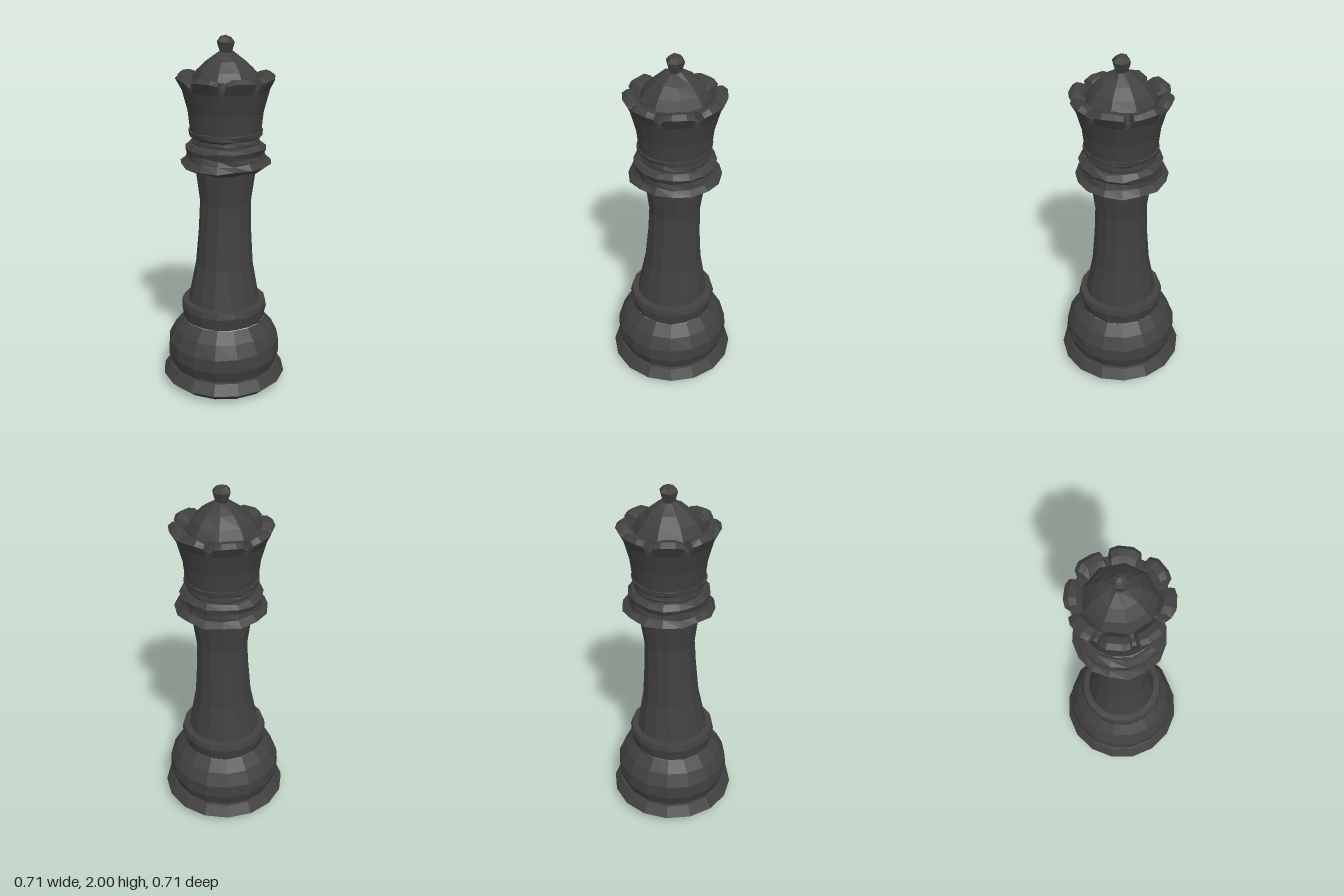
import * as THREE from 'three';

const material = new THREE.MeshStandardMaterial({ color: 0x404040, flatShading: true });

// Upper parts lean very slightly to one side
const lean = (y) => 0.018 * THREE.MathUtils.clamp((y - 0.4) / 0.8, 0, 1);

// Repeatable pseudo-random value in -1..1
const noise = (i, j) => {
  const s = Math.sin(i * 127.1 + j * 311.7) * 43758.5453;
  return (s - Math.floor(s)) * 2 - 1;
};

// Faceted turned part from [radius, y] points, with optional hand-cut irregularity
function turned(name, profile, sides, startDeg, wobble = 0) {
  const geo = new THREE.LatheGeometry(
    profile.map(([r, y]) => new THREE.Vector2(r, y)), sides, THREE.MathUtils.degToRad(startDeg));
  const pos = geo.attributes.position;
  const rows = profile.length;
  for (let k = 0; k < pos.count; k++) {
    const row = k % rows;
    const side = Math.floor(k / rows) % sides;
    const inner = row > 0 && row < rows - 1;
    const scale = inner ? 1 + noise(side, row) * wobble * 3 : 1;
    const y = pos.getY(k) + (inner ? noise(row + 9, side) * wobble : 0);
    pos.setXYZ(k, pos.getX(k) * scale + lean(y), y, pos.getZ(k) * scale);
  }
  const mesh = new THREE.Mesh(geo, material);
  mesh.name = name;
  return mesh;
}

// Flared crown whose rim rises into eight chunky teeth
function crown() {
  const teeth = 8;
  const steps = [[-17, 0.75], [-8, 1], [8, 1], [17, 0.75], [20, 0], [25, 0]];
  const columns = [];
  for (let t = 0; t < teeth; t++) {
    for (const [deg, up] of steps) {
      const a = THREE.MathUtils.degToRad(t * 45 - 12 + deg);
      const h = up * (1 + 0.12 * noise(t, deg));
      columns.push([
        [0.193, 1.49], [0.205, 1.6], [0.237, 1.72],
        [0.24 + 0.03 * h, 1.745 + 0.035 * h],
        [0.225 + 0.02 * h, 1.75 + 0.05 * h],
        [0.2 + 0.008 * h, 1.75 + 0.045 * h],
        [0.17, 1.755],
      ].map(([r, y]) => [Math.cos(a) * r + lean(y), y, Math.sin(a) * r]));
    }
  }
  const rows = columns[0].length;
  const index = [];
  columns.forEach((_, i) => {
    const next = (i + 1) % columns.length;
    for (let j = 0; j < rows - 1; j++) {
      const a = i * rows + j, b = next * rows + j;
      index.push(a, a + 1, b, b, a + 1, b + 1);
    }
  });
  const geo = new THREE.BufferGeometry();
  geo.setAttribute('position', new THREE.Float32BufferAttribute(columns.flat(2), 3));
  geo.setIndex(index);
  geo.computeVertexNormals();
  const mesh = new THREE.Mesh(geo, material);
  mesh.name = 'crown';
  return mesh;
}

export function createModel() {
  const model = new THREE.Group();
  model.name = 'chessQueen';

  // Foot, bulging base and lower collar
  model.add(
    turned('foot', [[0, 0], [0.25, 0.004], [0.31, 0.015], [0.357, 0.058], [0.318, 0.115], [0.28, 0.12]], 16, 7.3),
    turned('baseBulge', [[0.3, 0.11], [0.326, 0.19], [0.322, 0.265], [0.285, 0.34], [0.23, 0.4]], 16, 7.3, 0.002),
    turned('lowerCollar', [[0.21, 0.395], [0.232, 0.405], [0.246, 0.475], [0.238, 0.508], [0.19, 0.512]], 16, 7.3, 0.002),
  );

  // Tapering column
  model.add(turned('column',
    [[0.205, 0.5], [0.162, 0.73], [0.148, 0.92], [0.142, 1.09], [0.17, 1.3]], 14, 10, 0.002));

  // Rough-cut rings beneath the crown
  model.add(
    turned('upperCollar', [[0.15, 1.275], [0.19, 1.283], [0.252, 1.315], [0.222, 1.345],
      [0.215, 1.375], [0.226, 1.405], [0.2, 1.428], [0.17, 1.43]], 16, 5, 0.007),
    turned('neckRing', [[0.18, 1.41], [0.186, 1.44], [0.182, 1.46], [0.2, 1.472],
      [0.202, 1.498], [0.18, 1.505]], 16, 12, 0.005),
  );

  // Crown, dome and finial
  model.add(crown());
  model.add(turned('dome', [[0.19, 1.75], [0.185, 1.775], [0.155, 1.82], [0.105, 1.87], [0.04, 1.912], [0, 1.915]], 9, 15, 0.005));
  model.add(turned('finial', [[0.028, 1.895], [0.036, 1.92], [0.05, 1.965], [0.03, 1.99], [0, 2]], 6, 20, 0.003));

  return model;
}
